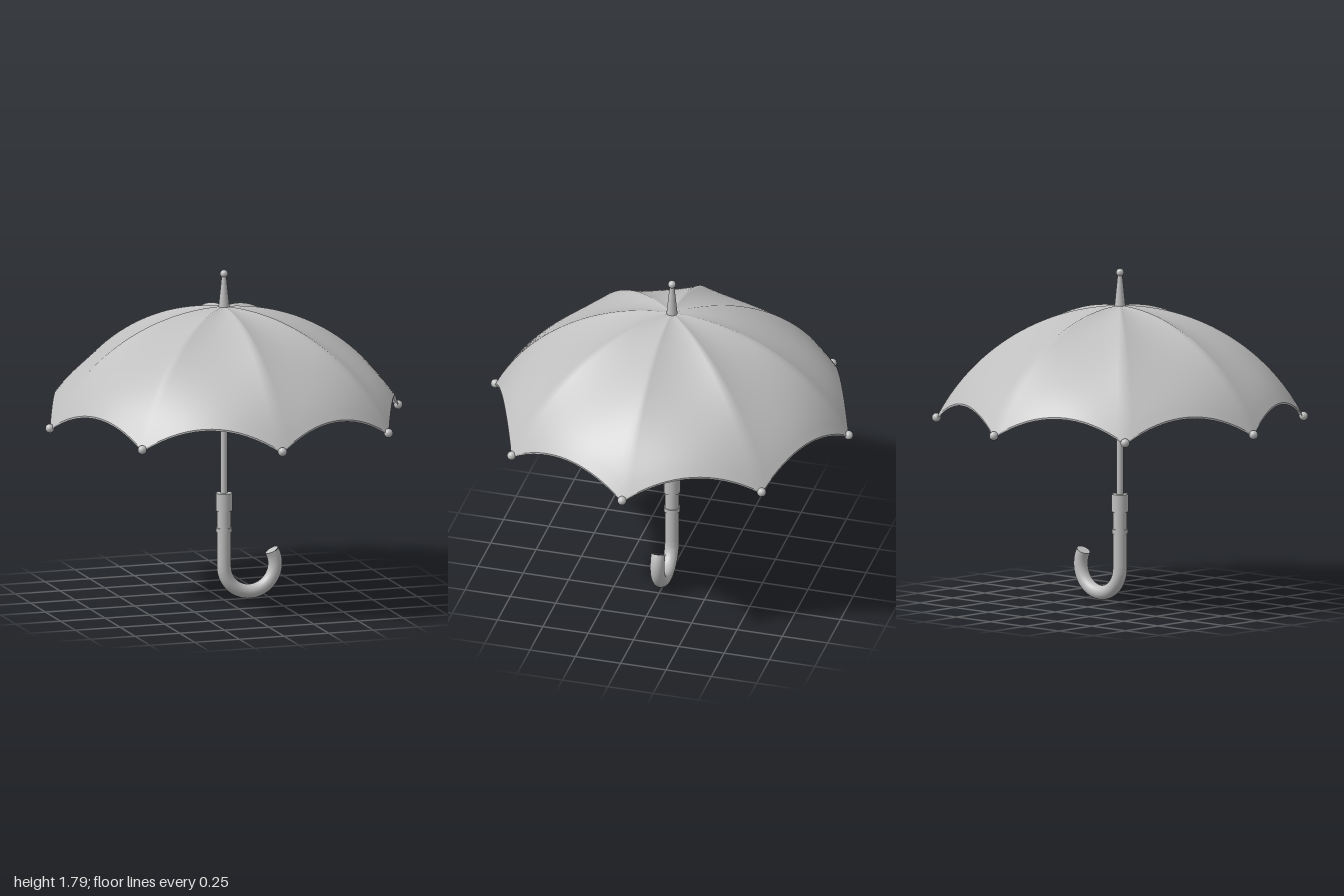
import * as THREE from 'three';

const RIBS = 8;
const REACH = 0.975;                       // plan radius of the rib tips
const ribY = r => 0.5 + Math.sqrt(1.092 ** 2 - r * r);
const V = (x, y, z) => new THREE.Vector3(x, y, z);

// Point on the canopy: t from crown (0) to rim (1), a = panel number + fraction
function canopyPoint(t, a, drop) {
  const panel = Math.floor(a), s = (a - panel) * 2 - 1;
  const half = Math.PI / RIBS, mid = (2 * panel + 1) * half;
  const r = t * REACH;
  const along = r * Math.cos(half), across = r * Math.sin(half) * s;
  // panels sag between the ribs near the crown and arch up at the rim
  const bow = (0.18 * t ** 4 - 0.06 * t) * (1 - s * s);
  return [
    along * Math.cos(mid) - across * Math.sin(mid),
    ribY(r) + bow - drop,
    along * Math.sin(mid) + across * Math.cos(mid),
  ];
}

// Strip of the canopy through rows of [t, drop]
function canopyStrip(rows, flip) {
  const seg = 16, cols = RIBS * seg, pos = [], index = [];
  for (const [t, drop] of rows)
    for (let j = 0; j < cols; j++) pos.push(...canopyPoint(t, j / seg, drop));
  for (let i = 0; i < rows.length - 1; i++) {
    for (let j = 0; j < cols; j++) {
      const k = (j + 1) % cols;
      const a = i * cols + j, b = i * cols + k, c = a + cols, d = b + cols;
      if (flip) index.push(a, c, b, b, c, d);
      else index.push(a, b, c, b, d, c);
    }
  }
  const g = new THREE.BufferGeometry();
  g.setAttribute('position', new THREE.Float32BufferAttribute(pos, 3));
  g.setIndex(index);
  g.computeVertexNormals();
  return g;
}

export function createModel() {
  const model = new THREE.Group();
  model.name = 'umbrella';
  const grey = new THREE.MeshStandardMaterial({ color: 0xbfbfbf });
  grey.name = 'grey';

  const add = (name, geometry, x = 0, y = 0, z = 0, parent = model) => {
    const m = new THREE.Mesh(geometry, grey);
    m.name = name;
    m.position.set(x, y, z);
    parent.add(m);
    return m;
  };
  // upright cylinder from y0 to y1
  const post = (name, y0, y1, r0, r1 = r0) =>
    add(name, new THREE.CylinderGeometry(r1, r0, y1 - y0, 32), 0, (y0 + y1) / 2, 0);

  // Canopy: outside, lining and the thin hem that joins them
  const thick = 0.01, outer = [], inner = [];
  for (let i = 0; i <= 28; i++) {
    const t = 0.004 + 0.996 * i / 28;
    outer.push([t, 0]);
    inner.push([t, thick]);
  }
  const canopy = new THREE.Group();
  canopy.name = 'canopy';
  model.add(canopy);
  add('canopyOutside', canopyStrip(outer, false), 0, 0, 0, canopy);
  add('canopyLining', canopyStrip(inner, true), 0, 0, 0, canopy);
  add('canopyHem', canopyStrip([[1, 0], [1, thick]], false), 0, 0, 0, canopy);

  // Ribs, stretchers and tip balls, one set per corner
  const ribPath = [];
  for (let i = 0; i <= 8; i++) {
    const r = 0.04 + (REACH - 0.04) * i / 8;
    ribPath.push(V(r, ribY(r) - 0.016, 0));
  }
  const ribGeo = new THREE.TubeGeometry(new THREE.CatmullRomCurve3(ribPath), 32, 0.008, 8);
  const stretcherGeo = new THREE.TubeGeometry(
    new THREE.LineCurve3(V(0.025, 1.04, 0), V(0.55, ribY(0.55) - 0.018, 0)), 1, 0.006, 8);
  const ballGeo = new THREE.SphereGeometry(0.024, 20, 14);
  for (let i = 0; i < RIBS; i++) {
    const arm = new THREE.Group();
    arm.name = 'ribArm';
    arm.rotation.y = i * 2 * Math.PI / RIBS;
    model.add(arm);
    add('rib', ribGeo, 0, 0, 0, arm);
    add('stretcher', stretcherGeo, 0, 0, 0, arm);
    add('tipBall', ballGeo, REACH, 0.994, 0, arm);
  }

  // Spike on the crown
  post('spike', 1.58, 1.76, 0.03, 0.012);
  add('spikeBall', new THREE.SphereGeometry(0.021, 20, 14), 0, 1.768, 0);

  // Shaft with its hub and sliding runner
  post('shaft', 0.5, 1.59, 0.018);
  post('crownHub', 1.43, 1.575, 0.062);
  post('runner', 0.93, 1.065, 0.035);

  // Grip with collar and ring
  post('collar', 0.485, 0.58, 0.044);
  post('grip', 0.37, 0.5, 0.038);
  post('gripRing', 0.368, 0.392, 0.043);

  // Hooked handle
  const R = 0.143, cy = 0.181, end = 2 * Math.PI + Math.PI / 6;
  const hook = new THREE.CurvePath();
  hook.add(new THREE.LineCurve3(V(0, 0.38, 0), V(0, cy, 0)));
  const bend = [];
  for (let i = 0; i <= 16; i++) {
    const a = Math.PI + (end - Math.PI) * i / 16;
    bend.push(V(R + R * Math.cos(a), cy + R * Math.sin(a), 0));
  }
  hook.add(new THREE.CatmullRomCurve3(bend));
  add('hookHandle', new THREE.TubeGeometry(hook, 72, 0.038, 24));
  const tip = bend[16];
  const cap = add('hookEnd', new THREE.CircleGeometry(0.038, 24), tip.x, tip.y, 0);
  cap.quaternion.setFromUnitVectors(V(0, 0, 1), V(-Math.sin(end), Math.cos(end), 0));

  return model;
}
